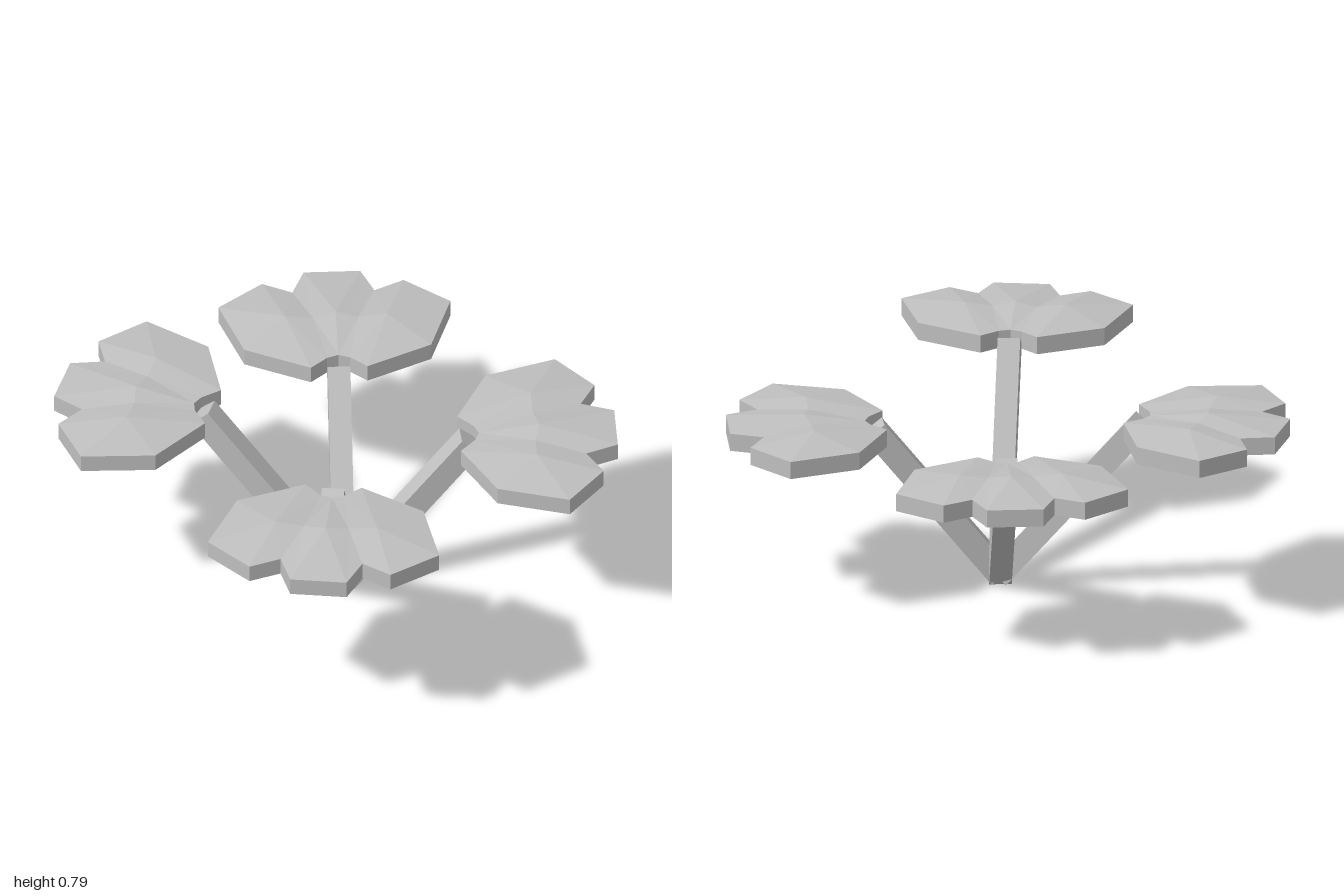
import * as THREE from 'three';

const grey = new THREE.MeshStandardMaterial({ color: 0xbfbfbf, flatShading: true });
grey.name = 'stone grey';

const EDGE = 0.032; // half thickness of the leaf rim
const BULGE = 0.062; // half thickness at the lobe peaks
const VALLEY = 0.05; // half thickness between lobes

// Half outline of a leaf (x across, z outward), from stem notch to tip
const RIM = [[0, 0.07], [0.04, 0.055], [0.1, 0], [0.33, 0.115], [0.41, 0.365],
  [0.25, 0.495], [0.145, 0.44], [0.1, 0.555]];
// Inner points: middle peak, valley, side peak
const MID = [0, 0.285, BULGE], DIP = [0.08, 0.265, VALLEY], PEAK = [0.18, 0.265, BULGE];

function leafGeometry() {
  const pos = [];
  const pts = [...RIM.map(([x, z]) => [x, z, EDGE]), MID, DIP, PEAK];
  const M = 8, D = 9, P = 10;
  const faces = [[1, 2, P], [2, 3, P], [3, 4, P], [4, 5, P], [5, 6, P], [6, D, P], [D, 1, P],
    [6, 7, D], [7, M, D], [M, 0, D], [0, 1, D]];
  // Adds one triangle to the upper skin and its mirror to the lower skin
  const skin = (a, b, c) => {
    const area = (b[1] - a[1]) * (c[0] - a[0]) - (b[0] - a[0]) * (c[1] - a[1]);
    const up = area > 0 ? [a, b, c] : [a, c, b];
    up.forEach(([x, z, h]) => pos.push(x, h, z));
    up.reverse().forEach(([x, z, h]) => pos.push(x, -h, z));
  };
  const flip = ([x, z, h]) => [-x, z, h];
  for (const f of faces) {
    const t = f.map((i) => pts[i]);
    skin(...t);
    skin(...t.map(flip));
  }
  skin(pts[7], flip(pts[7]), MID);
  // Rim wall
  const loop = [...RIM, ...RIM.slice(1).reverse().map(([x, z]) => [-x, z])];
  loop.forEach(([px, pz], i) => {
    const [qx, qz] = loop[(i + 1) % loop.length];
    pos.push(px, -EDGE, pz, px, EDGE, pz, qx, EDGE, qz);
    pos.push(px, -EDGE, pz, qx, EDGE, qz, qx, -EDGE, qz);
  });
  const g = new THREE.BufferGeometry();
  g.setAttribute('position', new THREE.Float32BufferAttribute(pos, 3));
  g.computeVertexNormals();
  return g;
}

export function createModel() {
  const model = new THREE.Group();
  model.name = 'plant';
  const leafGeo = leafGeometry();
  const base = new THREE.Vector3(0.035, 0.025, 0);

  // Leaf base x, height, base z, and outward direction x, z
  const leaves = [
    ['front', 0.04, 0.725, 0.435, 0, 1],
    ['left', 0.435, 0.588, -0.09, 0.545, -0.088],
    ['right', -0.437, 0.64, -0.095, -0.543, -0.105],
    ['back', -0.0225, 0.588, -0.435, -0.078, -0.545],
  ];
  for (const [name, x, y, z, dx, dz] of leaves) {
    const branch = new THREE.Group();
    branch.name = name + 'Branch';

    const leaf = new THREE.Mesh(leafGeo, grey);
    leaf.name = name + 'Leaf';
    leaf.position.set(x, y, z);
    leaf.rotation.y = Math.atan2(dx, dz);

    // Square stem from the shared foot into the leaf notch
    const out = new THREE.Vector3(dx, 0, dz).normalize();
    const top = new THREE.Vector3(x, y, z).addScaledVector(out, 0.04);
    const stem = new THREE.Mesh(new THREE.BoxGeometry(0.08, 0.088, base.distanceTo(top)), grey);
    stem.name = name + 'Stem';
    stem.position.copy(base).lerp(top, 0.5);
    stem.lookAt(top);

    branch.add(leaf, stem);
    model.add(branch);
  }
  return model;
}
